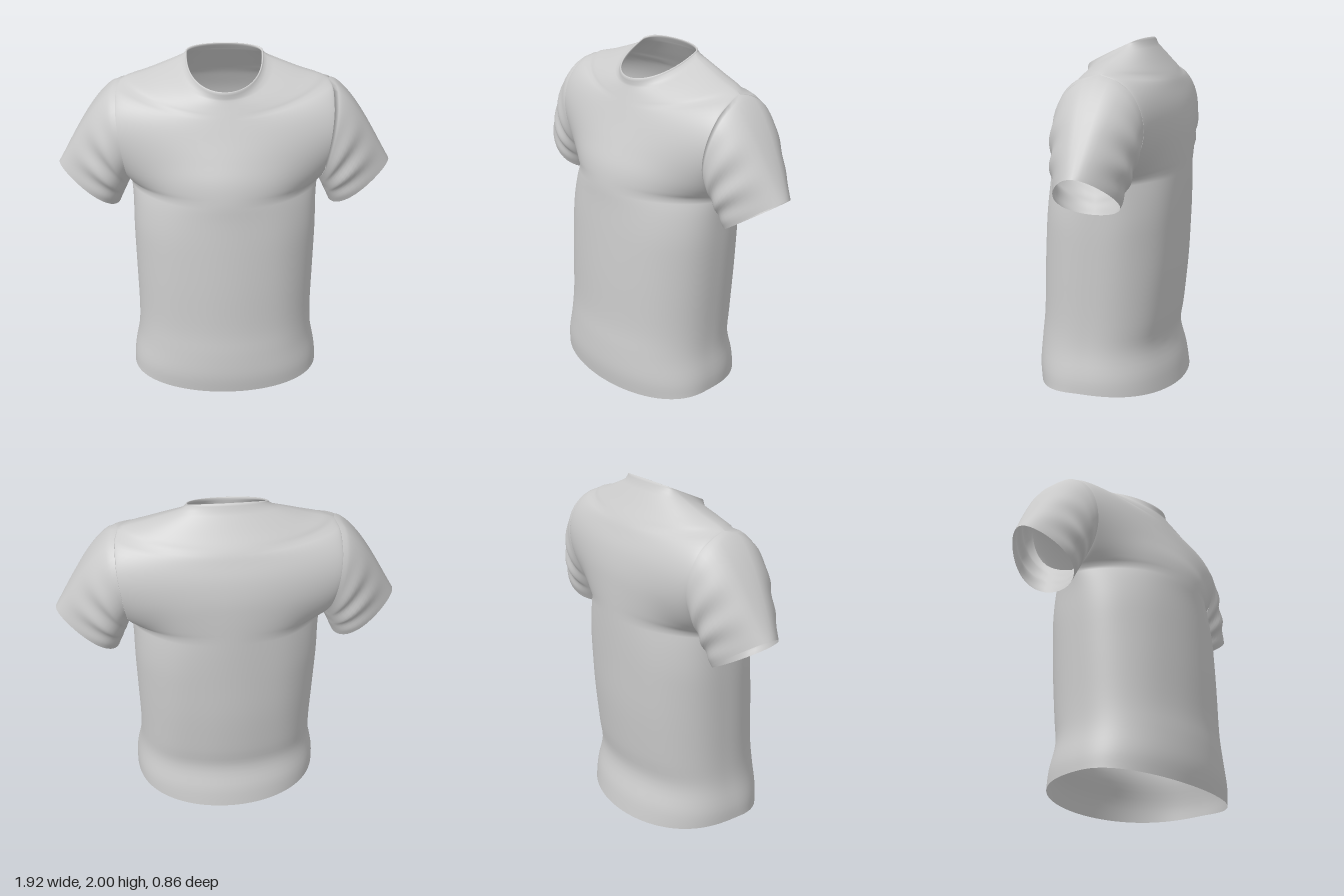
import * as THREE from 'three';
import { mergeGeometries, mergeVertices } from 'three/addons/utils/BufferGeometryUtils.js';

// Trunk from hem upwards: height, front z, back z, half width
const trunk = [
  [0.005, 0.42, -0.425, 0.565],
  [0.12, 0.432, -0.405, 0.56],
  [0.27, 0.425, -0.365, 0.532],
  [0.43, 0.41, -0.385, 0.525],
  [0.7, 0.402, -0.41, 0.53],
  [0.95, 0.39, -0.42, 0.535],
  [1.14, 0.378, -0.426, 0.535],
];
// Armpit to neckline: front centre y, z, back centre y, z, side edge x, y
const yoke = [
  [1.26, 0.372, 1.28, -0.428, 0.545, 1.24], // armpit
  [1.37, 0.352, 1.41, -0.428, 0.56, 1.33],
  [1.48, 0.308, 1.53, -0.422, 0.575, 1.46],
  [1.585, 0.262, 1.64, -0.4, 0.595, 1.61],
  [1.665, 0.228, 1.73, -0.365, 0.605, 1.74],
  [1.715, 0.207, 1.79, -0.335, 0.585, 1.825], // shoulder point
  [1.762, 0.187, 1.87, -0.278, 0.43, 1.876],
  [1.805, 0.17, 1.965, -0.212, 0.24, 1.945], // collar seam
  [1.842, 0.165, 2.0, -0.19, 0.212, 1.972], // neckline
];
const stations = [...trunk.map(([y, front, back, x]) => [y, front, y, back, x, y]), ...yoke];
const ARMPIT = 7, SHOULDER = 12, COLLAR = 14, NECK = 15, SUB = 4, HALF = 36;
const { clamp } = THREE.MathUtils;

// Smooth interpolation between stations, plus the armhole opening
function stationAt(t) {
  const i = Math.min(Math.floor(t), NECK - 1), f = t - i;
  const at = (k) => stations[clamp(k, 0, NECK)];
  const [a, b, c, d] = [at(i - 1), at(i), at(i + 1), at(i + 2)];
  const [fy, fz, by, bz, ex, ey] = b.map((_, k) => b[k] + 0.5 * f * (c[k] - a[k]
    + f * (2 * a[k] - 5 * b[k] + 4 * c[k] - d[k] + f * (3 * (b[k] - c[k]) + d[k] - a[k]))));
  const k = clamp((t - ARMPIT) / (SHOULDER - ARMPIT), 0, 1);
  const open = Math.pow(Math.max(0, Math.sin(Math.PI * k)), 0.7);
  // the chest gets flatter towards the armholes
  const flat = Math.sin(Math.PI * clamp((t - 5) / 9, 0, 1)) ** 2;
  const seamZ = t < ARMPIT ? 0.07 - 0.12 * t / ARMPIT : -0.05 - 0.08 * ((t - ARMPIT) / (NECK - ARMPIT)) ** 1.5;
  return {
    x: ex,
    y: ey + 0.03 * Math.max(0, 1 - t), // hem rises at the sides
    crown: 1 + 0.6 * clamp((COLLAR - t) / 2, 0, 1), // rounds the shoulder over its seam
    front: { y: fy, z: fz, edge: seamZ + 0.235 * open, power: 0.83 + 1.1 * flat },
    back: { y: by, z: bz, edge: seamZ - 0.265 * open, power: 0.77 + 0.95 * flat },
  };
}

// Point on the body: theta 0 is front centre, PI back centre
function bodyPoint(theta, t) {
  const s = stationAt(t);
  const isFront = theta < Math.PI / 2 + 1e-6;
  const { y, z, edge, power } = isFront ? s.front : s.back;
  const w = Math.pow(Math.abs(Math.cos(theta)), power);
  const p = new THREE.Vector3(s.x * Math.sin(theta), s.y + (y - s.y) * w ** s.crown, edge + (z - edge) * w);
  // soft hanging folds in the cloth
  const fade = Math.sin(Math.PI * Math.min(1, t / 9));
  const fold = Math.cos(p.x * 17 + p.y * 1.5 * Math.sign(p.x)) * fade * w * (1 - w);
  p.z += (isFront ? 0.016 : -0.024) * fold;
  return p;
}

// Surface grid from a rule fn(u, v), u and v in 0..1
function grid(nu, nv, fn) {
  const pos = [], index = [];
  for (let j = 0; j <= nv; j++) {
    for (let i = 0; i <= nu; i++) {
      pos.push(...fn(i / nu, j / nv).toArray());
      if (i < nu && j < nv) {
        const a = j * (nu + 1) + i, c = a + nu + 1;
        index.push(a, a + 1, c + 1, a, c + 1, c);
      }
    }
  }
  const g = new THREE.BufferGeometry();
  g.setAttribute('position', new THREE.Float32BufferAttribute(pos, 3));
  g.setIndex(index);
  return g.toNonIndexed();
}

// Half of the body, from hem to collar seam
function panel(start) {
  return grid(2 * HALF, COLLAR * SUB, (u, v) => bodyPoint(start + u * Math.PI, v * COLLAR));
}

// Sleeve: lofted from the armhole to the slanted cuff
function sleeve(side) {
  const n = (SHOULDER - ARMPIT) * SUB;
  return grid(2 * n, 24, (u, s) => {
    const k = 2 * (side < 0 ? 1 - u : u); // 0 armpit, 1 shoulder, 2 armpit; back half first
    const isBack = k < 1, phi = Math.PI * k;
    const hole = stationAt(ARMPIT + (SHOULDER - ARMPIT) * (isBack ? k : 2 - k));
    const root = new THREE.Vector3(hole.x, hole.y, (isBack ? hole.back : hole.front).edge);
    const a = (1 - Math.cos(phi)) / 2, out = -Math.sin(phi);
    const cuff = new THREE.Vector3(0.615 + 0.345 * a, 1.085 + 0.25 * a, -0.07 + 0.185 * out * (1.2 - 0.55 * a));
    const p = root.lerp(cuff, s);
    const swell = Math.sin(Math.PI * Math.pow(s, 0.62));
    p.x += 0.03 * swell * a;
    p.y += 0.03 * swell * a * a;
    p.z += 0.01 * swell * out;
    // gathered folds running up from the armpit
    const fold = Math.sin(s * 17 - a * 5) * Math.sin(Math.PI * s) * (1 - a * a);
    p.z += 0.013 * fold * out;
    p.x += 0.008 * fold * Math.abs(out);
    p.x *= side;
    return p;
  });
}

// Collar: a folded band following the neckline, rounded over its rim
function collar() {
  const rows = 12;
  return grid(4 * HALF, rows, (u, v) => {
    const turn = Math.PI * v;
    const t = COLLAR + (NECK - COLLAR) * Math.pow(Math.sin(turn), 0.6);
    const p = bodyPoint(-Math.PI / 2 + u * 2 * Math.PI, Math.min(t, NECK));
    const thickness = v === 0 ? 0 : 0.006 * Math.cos(turn);
    return p.add(new THREE.Vector3(p.x, 0.06, p.z + 0.03).normalize().multiplyScalar(thickness));
  });
}

export function createModel() {
  const material = new THREE.MeshStandardMaterial({ color: 0xcccccc, side: THREE.DoubleSide });
  const parts = {
    frontPanel: panel(-Math.PI / 2),
    backPanel: panel(Math.PI / 2),
    leftSleeve: sleeve(1),
    rightSleeve: sleeve(-1),
    collar: collar(),
  };

  // Weld the parts to get normals that run smoothly over the seams
  const welded = mergeVertices(mergeGeometries(Object.values(parts)), 1e-4);
  welded.computeVertexNormals();
  const normals = welded.toNonIndexed().getAttribute('normal').array;

  const group = new THREE.Group();
  group.name = 'shirt';
  let offset = 0;
  for (const [name, geometry] of Object.entries(parts)) {
    const length = geometry.getAttribute('position').count * 3;
    geometry.setAttribute('normal', new THREE.Float32BufferAttribute(normals.slice(offset, offset + length), 3));
    offset += length;
    const mesh = new THREE.Mesh(geometry, material);
    mesh.name = name;
    group.add(mesh);
  }
  return group;
}
